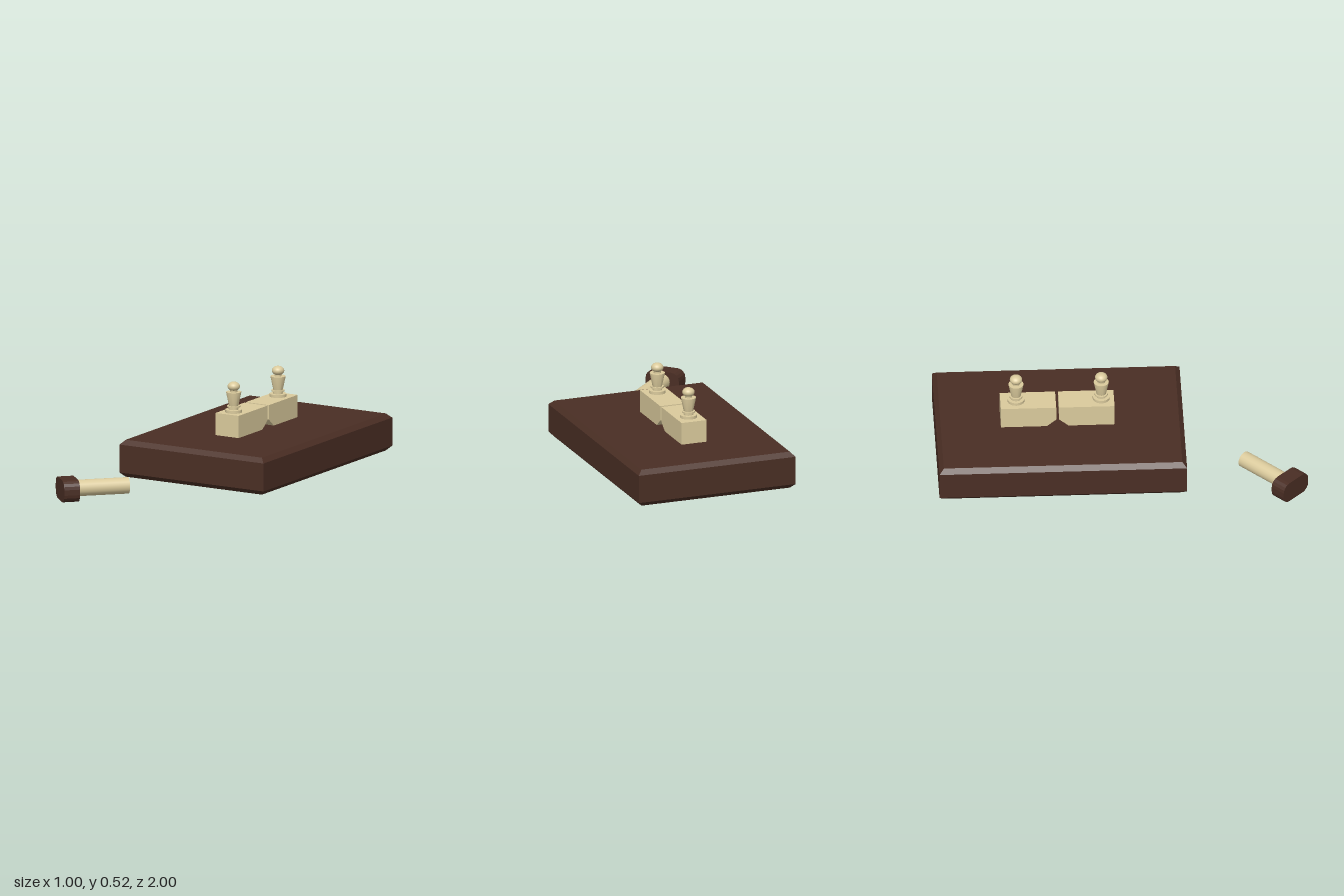
import * as THREE from 'three';
import { toCreasedNormals } from 'three/addons/utils/BufferGeometryUtils.js';

const brown = new THREE.MeshStandardMaterial({ color: 0x4a2e24 });
brown.name = 'darkWood';
const cream = new THREE.MeshStandardMaterial({ color: 0xdaca9c });
cream.name = 'paleWood';

function addMesh(parent, name, geometry, material, x = 0, y = 0, z = 0) {
  const mesh = new THREE.Mesh(geometry, material);
  mesh.name = name;
  mesh.position.set(x, y, z);
  parent.add(mesh);
  return mesh;
}

const polygon = (pts) => new THREE.Shape(pts.map(([x, y]) => new THREE.Vector2(x, y)));

// Slab with chamfered top and bottom rims
function slabGeometry(width, height, depth, chamfer) {
  const w = width / 2 - chamfer, d = depth / 2 - chamfer;
  const geo = new THREE.ExtrudeGeometry(polygon([[-w, -d], [w, -d], [w, d], [-w, d]]), {
    depth: height - 2 * chamfer, bevelSize: chamfer, bevelThickness: chamfer, bevelSegments: 1,
  });
  return geo.rotateX(-Math.PI / 2).translate(0, chamfer, 0);
}

// Block with its lower inner corner cut away
function blockGeometry(side) {
  const inner = 0.008, outer = 0.308, h = 0.123;
  let pts = [[inner + 0.051, 0], [outer, 0], [outer, h], [inner, h], [inner, 0.042]];
  pts = pts.map(([z, y]) => [z * side, y]);
  const geo = new THREE.ExtrudeGeometry(polygon(pts), { depth: 0.146, bevelEnabled: false });
  return geo.translate(0, 0, -0.073).rotateY(-Math.PI / 2);
}

// Turned peg: foot, collar, flared stem and a squat ball
function makePeg() {
  const peg = new THREE.Group();
  peg.name = 'peg';
  const profile = [
    [0, 0], [0.046, 0], [0.046, 0.016], [0.027, 0.016], [0.027, 0.029], [0.036, 0.029],
    [0.036, 0.037], [0.026, 0.037], [0.041, 0.109], [0.041, 0.113], [0.02, 0.113],
    [0.02, 0.13], [0, 0.13],
  ].map(([r, y]) => new THREE.Vector2(r, y));
  addMesh(peg, 'pegStem', toCreasedNormals(new THREE.LatheGeometry(profile, 24), 0.6), cream);
  const ball = new THREE.SphereGeometry(0.034, 24, 14).scale(1, 0.75, 1);
  addMesh(peg, 'pegBall', ball, cream, 0, 0.143, 0);
  return peg;
}

// Mallet lying on the ground, its axis along local z
function makeMallet() {
  const mallet = new THREE.Group();
  mallet.name = 'mallet';
  const w = 0.098, h = 0.06, r = 0.045;
  const s = new THREE.Shape();
  s.absarc(w - r, h - r, r, 0, Math.PI / 2);
  s.absarc(r - w, h - r, r, Math.PI / 2, Math.PI);
  s.absarc(r - w, r - h, r, Math.PI, Math.PI * 1.5);
  s.absarc(w - r, r - h, r, Math.PI * 1.5, Math.PI * 2);
  const head = new THREE.ExtrudeGeometry(s, { depth: 0.088, bevelEnabled: false, curveSegments: 2 });
  addMesh(mallet, 'malletHead', head.translate(0, 0, -0.044), brown, 0, h, 0);
  const handle = new THREE.CylinderGeometry(0.045, 0.045, 0.306, 20).rotateX(Math.PI / 2);
  addMesh(mallet, 'malletHandle', handle, cream, 0, 0.063, 0.183);
  return mallet;
}

export function createModel() {
  const model = new THREE.Group();
  model.name = 'boardAndMallet';

  addMesh(model, 'baseBoard', slabGeometry(0.912, 0.205, 1.342, 0.025), brown, 0.044, 0.019, -0.329);

  // Two mirrored blocks, each carrying a peg
  for (const [side, pegZ] of [[1, -0.103], [-1, -0.565]]) {
    addMesh(model, side > 0 ? 'frontBlock' : 'backBlock', blockGeometry(side), cream, 0.041, 0.224, -0.342);
    const peg = makePeg();
    peg.position.set(0.041, 0.347, pegZ);
    model.add(peg);
  }

  const mallet = makeMallet();
  mallet.position.set(-0.3995, 0, 0.8995);
  mallet.rotation.y = Math.PI * 0.75;
  model.add(mallet);

  return model;
}
